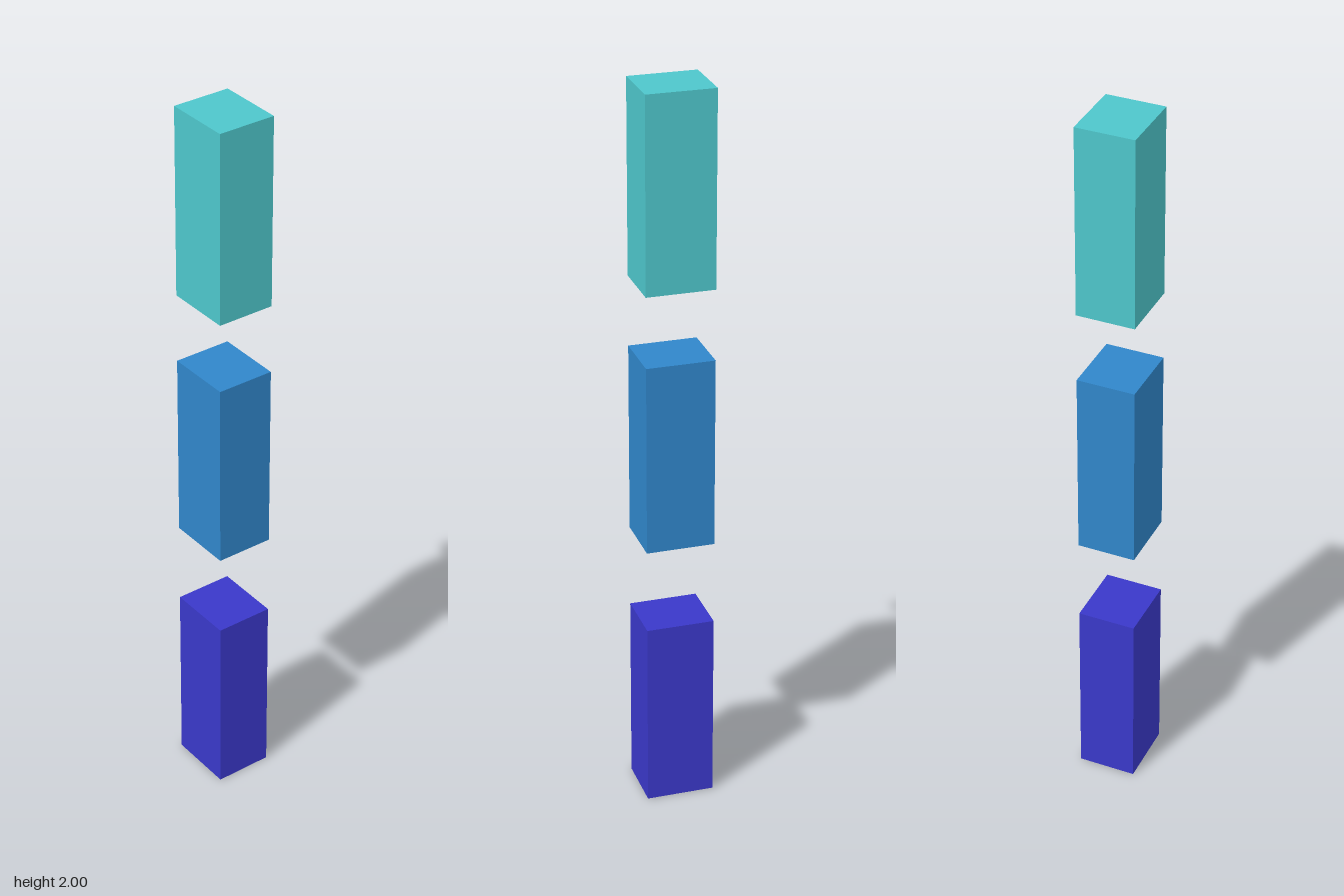
import * as THREE from 'three';

const WIDTH = 0.185, HEIGHT = 0.525, DEPTH = 0.16;

// Three identical blocks floating one above the other
const BLOCKS = [
  { name: 'lowerBlock', centerY: HEIGHT / 2, color: 0x3a38c9 },
  { name: 'middleBlock', centerY: 1.019, color: 0x3086ca },
  { name: 'upperBlock', centerY: 2 - HEIGHT / 2, color: 0x4ec6cb },
];

export function createModel() {
  const model = new THREE.Group();
  model.name = 'blockColumn';
  const geometry = new THREE.BoxGeometry(WIDTH, HEIGHT, DEPTH);
  for (const { name, centerY, color } of BLOCKS) {
    const block = new THREE.Mesh(geometry, new THREE.MeshStandardMaterial({ color }));
    block.name = name;
    block.position.y = centerY;
    model.add(block);
  }
  return model;
}
